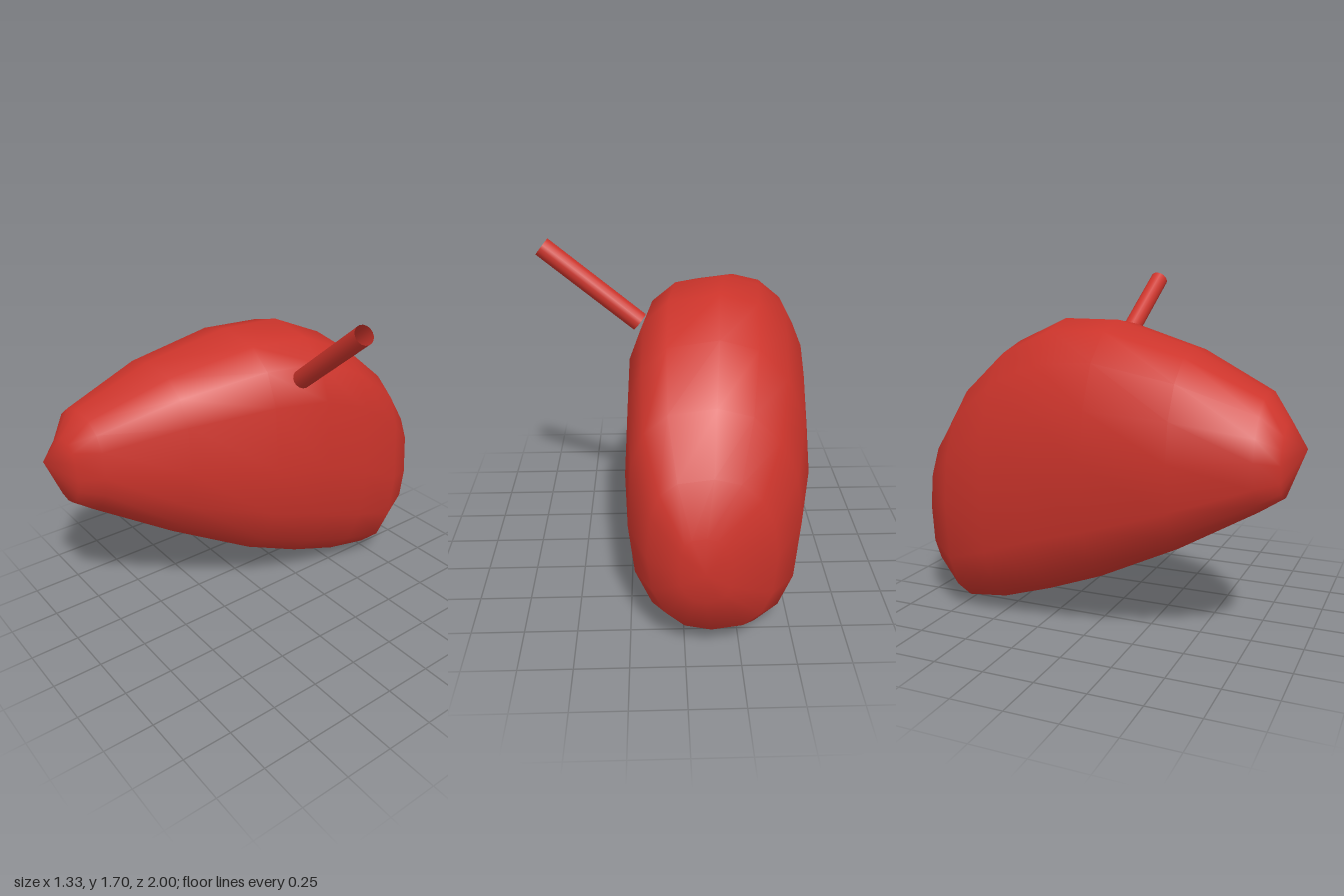
import * as THREE from 'three';

const SIDES = 16;

// Cross-sections from nose to rear: z, left x, right x, bottom y, top y, squareness
const SECTIONS = [
  [0.91, -0.5, -0.22, 0.74, 1.08, 0.88],
  [0.82, -0.61, -0.11, 0.68, 1.2, 0.88],
  [0.46, -0.665, 0.065, 0.46, 1.37, 0.96],
  [0.06, -0.65, 0.215, 0.25, 1.48, 1],
  [-0.23, -0.62, 0.26, 0.13, 1.48, 1],
  [-0.5, -0.59, 0.265, 0.04, 1.36, 1],
  [-0.74, -0.525, 0.25, 0, 1.15, 1],
  [-0.91, -0.4, 0.165, 0.13, 0.91, 1],
  [-0.985, -0.2, 0.03, 0.34, 0.67, 1],
];

// Squareness of each quadrant: upper right, upper left, lower left, lower right
const POWERS = [3.1, 2.1, 2.75, 2.25];

function bodyGeometry() {
  const pos = [-0.39, 0.97, 1];
  const index = [];
  for (const [z, x0, x1, y0, y1, square] of SECTIONS) {
    for (let j = 0; j < SIDES; j++) {
      const a = (j / SIDES) * Math.PI * 2;
      const e = 2 / (POWERS[Math.floor((j * 4) / SIDES)] * square);
      const c = Math.cos(a), s = Math.sin(a);
      const px = Math.abs(c) < 1e-6 ? 0 : Math.sign(c) * Math.abs(c) ** e;
      const py = Math.abs(s) < 1e-6 ? 0 : Math.sign(s) * Math.abs(s) ** e;
      pos.push((x0 + x1) / 2 + (px * (x1 - x0)) / 2, (y0 + y1) / 2 + (py * (y1 - y0)) / 2, z);
    }
  }
  pos.push(-0.085, 0.5, -1);
  const rings = SECTIONS.length;
  const last = 1 + rings * SIDES;
  const at = (i, j) => 1 + i * SIDES + (j % SIDES);
  for (let j = 0; j < SIDES; j++) {
    index.push(0, at(0, j), at(0, j + 1));
    for (let i = 0; i < rings - 1; i++) {
      const a = at(i, j), b = at(i, j + 1), c = at(i + 1, j), d = at(i + 1, j + 1);
      index.push(a, c, b, b, c, d);
    }
    index.push(last, at(rings - 1, j + 1), at(rings - 1, j));
  }
  const geo = new THREE.BufferGeometry();
  geo.setAttribute('position', new THREE.Float32BufferAttribute(pos, 3));
  geo.setIndex(index);
  geo.computeVertexNormals();
  return geo;
}

export function createModel() {
  const group = new THREE.Group();
  const red = new THREE.MeshStandardMaterial({ color: 0xcc342b, side: THREE.DoubleSide });
  red.name = 'red';

  // Rounded, lopsided body
  const body = new THREE.Mesh(bodyGeometry(), red);
  body.name = 'body';
  group.add(body);

  // Straight open tube leaning out of the upper side
  const start = new THREE.Vector3(0.19, 1.305, -0.1);
  const end = new THREE.Vector3(0.637, 1.66, -0.05);
  const dir = end.clone().sub(start);
  const stem = new THREE.Mesh(new THREE.CylinderGeometry(0.047, 0.047, dir.length(), 16, 1, true), red);
  stem.name = 'stem';
  stem.position.copy(start).add(end).multiplyScalar(0.5);
  stem.quaternion.setFromUnitVectors(new THREE.Vector3(0, 1, 0), dir.normalize());
  group.add(stem);

  return group;
}
